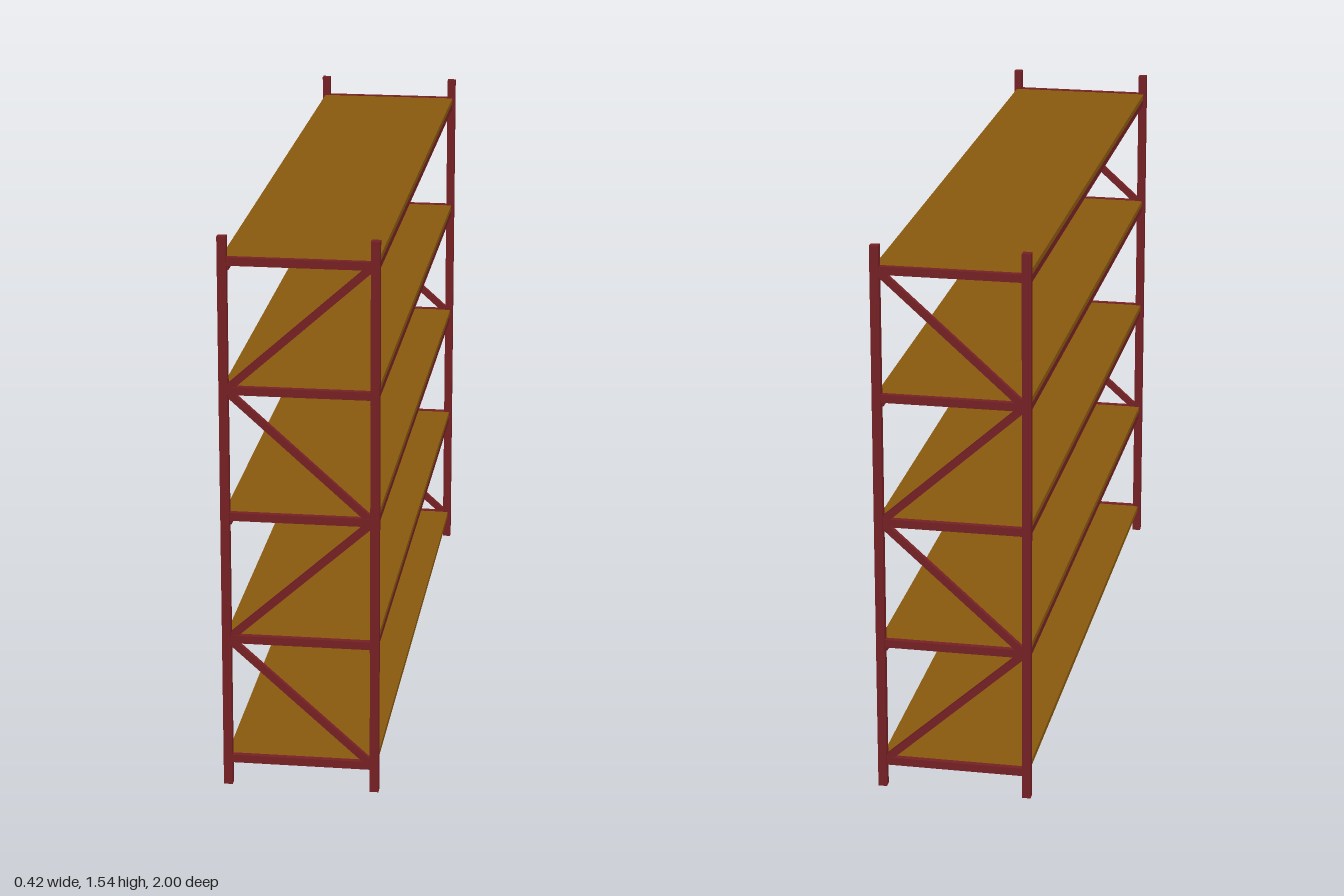
import * as THREE from 'three';

const steel = new THREE.MeshStandardMaterial({ color: 0x782125 });
steel.name = 'dark red steel';
const wood = new THREE.MeshStandardMaterial({ color: 0x8b5a0e });
wood.name = 'brown board';

const HEIGHT = 1.542;
const POST_X = 0.2;
const END_Z = 0.989;
const levels = [0, 1, 2, 3, 4].map((i) => 0.075 + 0.35 * i);

function box(name, material, size, position) {
  const mesh = new THREE.Mesh(new THREE.BoxGeometry(...size), material);
  mesh.name = name;
  mesh.position.set(...position);
  return mesh;
}

// Upright ladder frame with rungs and zigzag bracing
function endFrame(name, z) {
  const frame = new THREE.Group();
  frame.name = name;
  frame.position.z = z;
  for (const side of [-1, 1]) {
    frame.add(box('post', steel, [0.024, HEIGHT, 0.022], [side * POST_X, HEIGHT / 2, 0]));
  }
  levels.forEach((y, i) => {
    frame.add(box('rung', steel, [0.38, 0.022, 0.016], [0, y, 0]));
    if (i === 0) return;
    // Braces alternate direction from one bay to the next
    const rise = y - levels[i - 1];
    const run = 0.39;
    const brace = box('brace', steel, [Math.hypot(run, rise) - 0.012, 0.02, 0.014], [0, y - rise / 2, 0]);
    brace.rotation.z = (i % 2 ? -1 : 1) * Math.atan2(rise, run);
    frame.add(brace);
  });
  return frame;
}

// Board, with side beams above the lowest level and cross bars above the second
function shelf(y, i) {
  const group = new THREE.Group();
  group.name = 'shelf';
  group.position.y = y;
  group.add(box('board', wood, [0.407, 0.016, 1.962], [0, 0.001, 0]));
  if (i > 0) {
    for (const side of [-1, 1]) {
      group.add(box('sideBeam', steel, [0.018, 0.02, 1.962], [side * 0.194, -0.017, 0]));
    }
  }
  if (i > 1) {
    for (let k = -2; k <= 2; k++) {
      group.add(box('crossBar', steel, [0.38, 0.018, 0.02], [0, -0.016, k * 0.33]));
    }
  }
  return group;
}

export function createModel() {
  const model = new THREE.Group();
  model.name = 'storageRack';
  model.add(endFrame('frontFrame', END_Z), endFrame('backFrame', -END_Z));
  levels.forEach((y, i) => model.add(shelf(y, i)));
  return model;
}
